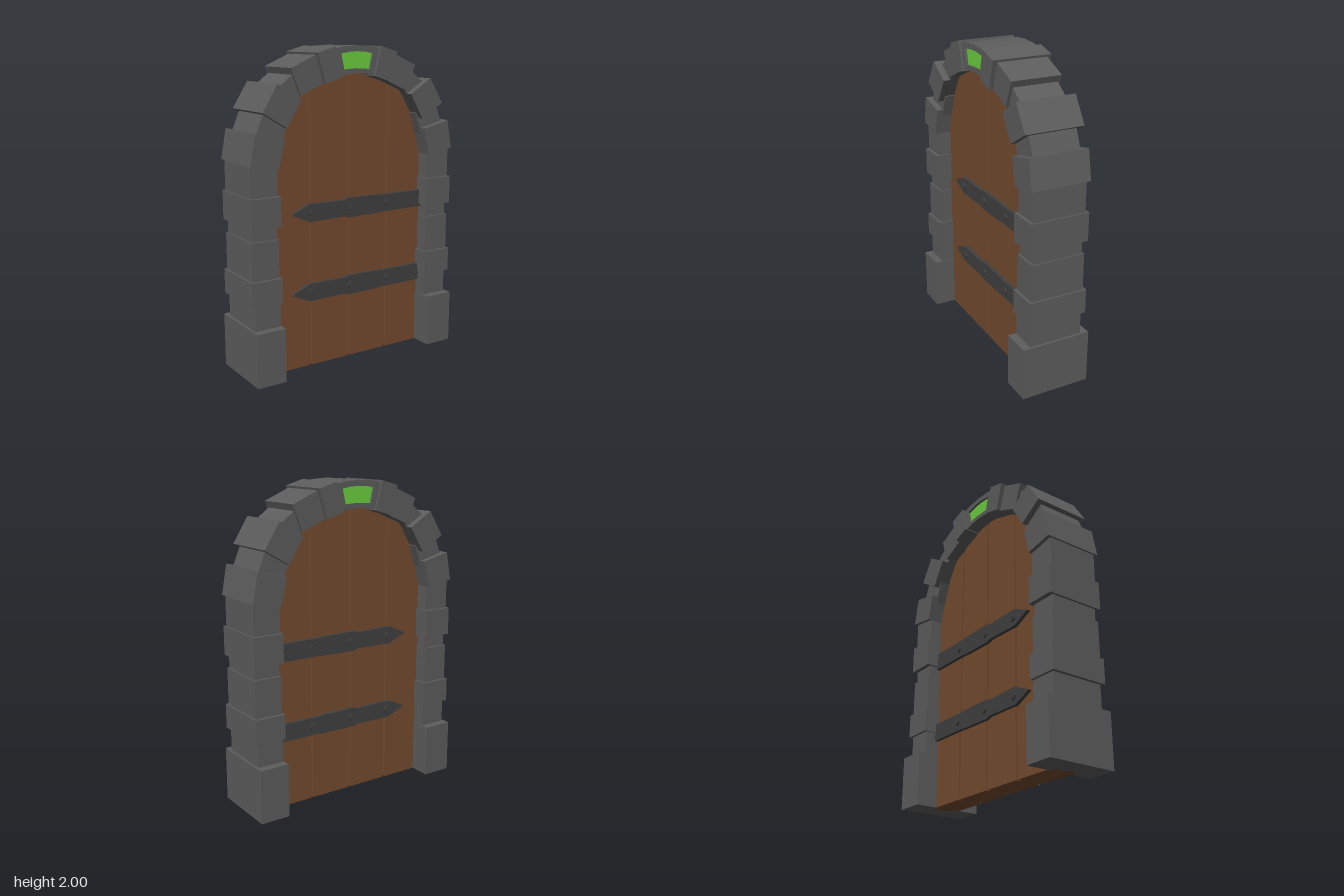
import * as THREE from 'three';

const mat = (name, color) => {
  const m = new THREE.MeshStandardMaterial({ color });
  m.name = name;
  return m;
};

const shapeOf = (pts) => new THREE.Shape(pts.map(([x, y]) => new THREE.Vector2(x, y)));

// Outline extruded along z, centred on z = 0
function slab(shape, halfDepth) {
  const g = new THREE.ExtrudeGeometry(shape, { depth: halfDepth * 2, bevelEnabled: false });
  return g.translate(0, 0, -halfDepth);
}

export function createModel() {
  const stone = mat('stone', 0x5d5d5d);
  const wood = mat('wood', 0x744b2e);
  const iron = mat('iron', 0x404040);
  const glow = mat('green gem', 0x6cd03e);
  const model = new THREE.Group();
  model.name = 'archedDoor';

  const add = (parent, name, geometry, material) => {
    const mesh = new THREE.Mesh(geometry, material);
    mesh.name = name;
    parent.add(mesh);
    return mesh;
  };
  const group = (name) => {
    const g = new THREE.Group();
    g.name = name;
    model.add(g);
    return g;
  };

  // Pillar blocks: inner x, outer x, bottom, top, half depth
  const blocks = [
    [0.545, 0.737, 0, 0.34, 0.225],
    [0.55, 0.722, 0.34, 0.49, 0.173],
    [0.543, 0.743, 0.49, 0.645, 0.19],
    [0.555, 0.732, 0.645, 0.88, 0.173],
    [0.56, 0.724, 0.88, 0.96, 0.16],
    [0.545, 0.739, 0.96, 1.14, 0.19],
    [0.555, 0.73, 1.14, 1.34, 0.17],
  ];
  // Arch stones: four corners in x, y, then half depth
  const wedges = [
    [[[0.74, 1.33], [0.705, 1.515], [0.515, 1.47], [0.555, 1.30]], 0.192],
    [[[0.695, 1.47], [0.615, 1.66], [0.47, 1.57], [0.52, 1.43]], 0.152],
    [[[0.655, 1.63], [0.555, 1.79], [0.40, 1.695], [0.497, 1.535]], 0.19],
    [[[0.55, 1.75], [0.43, 1.84], [0.37, 1.73], [0.43, 1.66]], 0.145],
    [[[0.45, 1.875], [0.285, 1.947], [0.235, 1.78], [0.39, 1.715]], 0.163],
    [[[0.285, 1.96], [0.165, 1.995], [0.12, 1.815], [0.235, 1.78]], 0.19],
  ];
  for (const side of [-1, 1]) {
    const surround = group(side > 0 ? 'leftStones' : 'rightStones');
    for (const [x0, x1, y0, y1, d] of blocks) {
      const b = add(surround, 'pillarBlock', new THREE.BoxGeometry(x1 - x0, y1 - y0, d * 2), stone);
      b.position.set(side * (x0 + x1) / 2, (y0 + y1) / 2, 0);
    }
    for (const [pts, d] of wedges) {
      add(surround, 'archStone', slab(shapeOf(pts.map(([x, y]) => [x * side, y])), d), stone);
    }
  }

  // Keystone with a window cut through it and a gem set inside
  const keystone = group('keystone');
  const gemOutline = [[-0.115, 1.953], [-0.055, 1.962], [0, 1.965], [0.055, 1.962], [0.115, 1.953],
    [0.094, 1.858], [0, 1.864], [-0.094, 1.858]];
  const keyShape = shapeOf([[-0.17, 1.98], [-0.1, 1.994], [0, 2], [0.1, 1.994], [0.17, 1.98],
    [0.13, 1.82], [0.06, 1.832], [0, 1.835], [-0.06, 1.832], [-0.13, 1.82]]);
  keyShape.holes.push(new THREE.Path(gemOutline.map(([x, y]) => new THREE.Vector2(x, y))));
  add(keystone, 'keystoneFrame', slab(keyShape, 0.175), stone);
  add(keystone, 'gem', slab(shapeOf(gemOutline), 0.16), glow);

  // Door: planks cut to the arch, with a thinner core showing in the grooves
  const door = group('door');
  const rise = [[0.6, 1.35], [0.58, 1.47], [0.5, 1.63], [0.4, 1.77], [0.25, 1.85], [0, 1.87]];
  const topAt = (x) => {
    const a = Math.abs(x);
    for (let i = 1; i < rise.length; i++) {
      const [x0, y0] = rise[i - 1], [x1, y1] = rise[i];
      if (a >= x1) return y1 + (y0 - y1) * (a - x1) / (x0 - x1);
    }
    return 1.87;
  };
  const board = (x0, x1) => {
    const pts = [[x0, 0], [x1, 0]];
    for (let i = 0; i <= 8; i++) {
      const x = x1 + (x0 - x1) * i / 8;
      pts.push([x, topAt(x)]);
    }
    return shapeOf(pts);
  };
  const seams = [-0.6, -0.287, 0, 0.29, 0.6];
  for (let i = 0; i < 4; i++) {
    add(door, 'plank', slab(board(seams[i] + (i ? 0.008 : 0), seams[i + 1] - (i < 3 ? 0.008 : 0)), 0.085), wood);
  }
  add(door, 'doorCore', slab(board(-0.59, 0.59), 0.065), wood);

  // Hinge straps and bolts on both faces
  const half = [[-0.43, 0], [-0.305, 0.056], [-0.05, 0.052], [-0.02, 0.063], [0.22, 0.06], [0.25, 0.056], [0.58, 0.056]];
  const strapShape = shapeOf([...half, ...half.slice(1).reverse().map(([x, y]) => [x, -y])]);
  for (const face of [-1, 1]) {
    for (const y of [0.997, 0.49]) {
      const hinge = group(face > 0 ? 'frontHinge' : 'backHinge');
      hinge.position.set(0, y, face * 0.095);
      add(hinge, 'strap', slab(strapShape, 0.013), iron);
      for (const x of [-0.287, 0, 0.29]) {
        const bolt = add(hinge, 'bolt', new THREE.CylinderGeometry(0.024, 0.024, 0.05, 8).rotateX(Math.PI / 2), iron);
        bolt.position.x = x;
      }
    }
  }
  return model;
}
